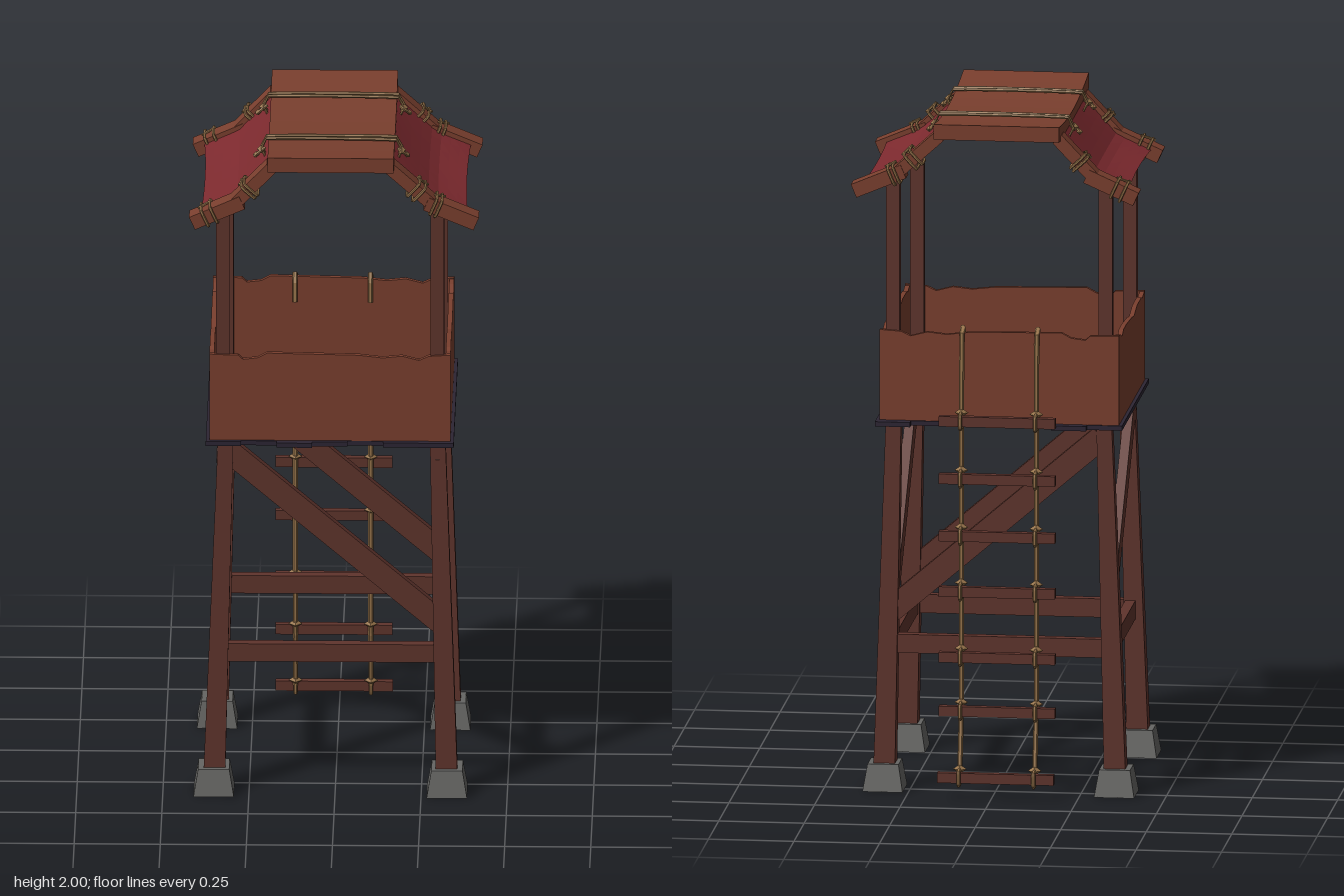
import * as THREE from 'three';

const mat = (name, color) => {
  const m = new THREE.MeshStandardMaterial({ color, side: THREE.DoubleSide, flatShading: true });
  m.name = name;
  return m;
};
const V = (x, y, z) => new THREE.Vector3(x, y, z);
const UP = V(0, 1, 0);

export function createModel() {
  const root = new THREE.Group();
  root.name = 'watchtower';
  const plank = mat('plank wood', 0x7a3f2e);
  const timber = mat('dark timber', 0x5f342c);
  const floorWood = mat('floor wood', 0x2c2533);
  const cloth = mat('red cloth', 0x7e2a2f);
  const ropeMat = mat('rope', 0x96734a);
  const stone = mat('stone', 0x666664);

  const add = (name, geo, material, parent = root) => {
    const m = new THREE.Mesh(geo, material);
    m.name = name;
    parent.add(m);
    return m;
  };
  // Square or rectangular bar between two points; taper scales the far end
  const bar = (name, a, b, w, d, material, taper = 1) => {
    const dir = b.clone().sub(a);
    const geo = new THREE.CylinderGeometry(Math.SQRT1_2 * taper, Math.SQRT1_2, dir.length(), 4);
    geo.rotateY(Math.PI / 4).scale(w, 1, d);
    const m = add(name, geo, material);
    m.quaternion.setFromUnitVectors(UP, dir.normalize());
    m.position.copy(a).add(b).multiplyScalar(0.5);
    return m;
  };
  const rope = (name, pts, r, closed = false, parent = root) => {
    const curve = new THREE.CatmullRomCurve3(pts, closed, 'catmullrom', 0.15);
    return add(name, new THREE.TubeGeometry(curve, pts.length * 6, r, 6, closed), ropeMat, parent);
  };
  const knot = (x, y, z, r = 0.016) => {
    const m = add('ropeKnot', new THREE.OctahedronGeometry(r), ropeMat);
    m.position.set(x, y, z);
    return m;
  };

  // Legs, stone feet and upper posts
  const legs = [];
  for (const [xb, xt, xp] of [[-0.352, -0.318, -0.325], [0.325, 0.298, 0.297]]) {
    for (const [zb, zt, zp] of [[0.307, 0.307, 0.325], [-0.243, -0.24, -0.266]]) {
      legs.push({ xb, xt, zb, zt });
      bar('leg', V(xb, 0.012, zb), V(xt, 1.095, zt), 0.064, 0.057, timber, 0.7);
      const foot = new THREE.CylinderGeometry(0.064, 0.083, 0.08, 4, 1, true).rotateY(Math.PI / 4);
      add('stoneFoot', foot, stone).position.set(xb, 0.04, zb);
      // Cap and bottom rim of the hollow foot
      const cap = new THREE.PlaneGeometry(0.09, 0.09).rotateX(-Math.PI / 2);
      add('footCap', cap, stone).position.set(xb, 0.0795, zb);
      const rim = new THREE.RingGeometry(0.052, 0.083, 4, 1, Math.PI / 4).rotateX(Math.PI / 2);
      add('footRim', rim, stone).position.set(xb, 0.001, zb);
      bar('roofPost', V(xp, 1.1, zp), V(xp, 1.83, zp), 0.04, 0.03, timber);
    }
  }

  // Horizontal and diagonal braces on all four sides
  const zFront = 0.307, zBack = -0.242;
  for (const z of [zFront, zBack]) {
    bar('crossBeam', V(-0.33, 0.433, z), V(0.31, 0.433, z), 0.055, 0.03, timber);
    bar('diagonalBrace', V(-0.31, 1.06, z), V(0.305, 0.53, z), 0.07, 0.028, timber);
  }
  for (const x of [-0.33, 0.306]) {
    bar('crossBeam', V(x, 0.433, zFront), V(x, 0.433, zBack), 0.03, 0.055, timber);
    bar('diagonalBrace', V(x, 1.06, zFront), V(x, 0.525, zBack), 0.028, 0.06, timber);
  }

  // Floor boards with uneven ends
  const backEnds = [0.295, 0.315, 0.3, 0.29, 0.3, 0.295, 0.32];
  const frontEnds = [0.36, 0.352, 0.37, 0.358, 0.35, 0.362, 0.365];
  backEnds.forEach((back, i) => {
    const w = 0.72 / 7, front = frontEnds[i];
    add('floorBoard', new THREE.BoxGeometry(w, 0.014, back + front), floorWood)
      .position.set(-0.375 + w * (i + 0.5), 1.097, (front - back) / 2);
  });

  // Parapet walls with worn top edges
  const wall = (name, from, to, tops, thick) => {
    const s = new THREE.Shape();
    s.moveTo(from, 1.1);
    s.lineTo(to, 1.1);
    for (const [u, y] of [...tops].reverse()) s.lineTo(from + (to - from) * u, y);
    s.closePath();
    return add(name, new THREE.ExtrudeGeometry(s, { depth: thick, bevelEnabled: false }), plank);
  };
  const edgeA = [[0, 1.37], [0.12, 1.368], [0.14, 1.355], [0.2, 1.36], [0.24, 1.375], [0.62, 1.37],
    [0.72, 1.362], [0.8, 1.368], [0.87, 1.355], [0.91, 1.368], [1, 1.372]];
  const edgeB = [[0, 1.37], [0.1, 1.36], [0.13, 1.366], [0.3, 1.366], [0.42, 1.35], [0.5, 1.357],
    [0.72, 1.366], [0.82, 1.365], [0.88, 1.352], [0.93, 1.365], [1, 1.37]];
  wall('frontWall', -0.365, 0.335, edgeA, 0.014).position.z = 0.333;
  wall('backWall', -0.365, 0.335, edgeA, 0.014).position.z = -0.29;
  for (const x of [-0.365, 0.321]) {
    const w = wall('sideWall', -0.346, 0.288, edgeB, 0.014);
    w.rotation.y = Math.PI / 2;
    w.position.x = x;
  }

  // Saddle-shaped ridge board
  const ridge = new THREE.BoxGeometry(0.366, 0.045, 0.73, 1, 1, 8);
  const rp = ridge.attributes.position;
  for (let i = 0; i < rp.count; i++) {
    const t = rp.getZ(i) / 0.365;
    rp.setY(i, rp.getY(i) + 1.951 + 0.024 * t * t + 0.003 * t);
  }
  ridge.computeVertexNormals();
  add('ridgeBoard', ridge, plank).position.set(-0.012, 0, 0.03);

  // Bent rafters, their lashings and the cloth panels
  const sides = [
    { path: [[-0.185, 1.95], [-0.29, 1.835], [-0.415, 1.778]], ties: [[-0.365, 0.014], [-0.248, 0.006]] },
    { path: [[0.16, 1.95], [0.285, 1.835], [0.41, 1.782]], ties: [[0.236, 0.011], [0.293, 0.008]] },
  ];
  for (const { path, ties } of sides) {
    const [a, b, c] = path;
    const heightAt = (x) => {
      const [p, q] = Math.abs(x) < Math.abs(b[0]) ? [a, b] : [b, c];
      const k = (q[1] - p[1]) / (q[0] - p[0]);
      return [p[1] + k * (x - p[0]), Math.atan(k)];
    };
    const sgn = Math.sign(c[0]);
    for (const z of [0.322, -0.266]) {
      bar('rafterUpper', V(...a, z), V(b[0] + sgn * 0.015, b[1] - 0.012, z), 0.036, 0.052, plank);
      bar('rafterLower', V(b[0] - sgn * 0.02, b[1] + 0.008, z), V(...c, z), 0.042, 0.058, plank);
      for (const [x, gap] of ties) {
        const [y, ang] = heightAt(x);
        const g = new THREE.Group();
        g.name = 'rafterLashing';
        g.position.set(x, y, z);
        g.rotation.z = ang;
        root.add(g);
        for (const s of [-gap, gap]) {
          rope('lashingLoop', [V(s, 0.026, 0.034), V(s, 0.026, -0.034), V(s, -0.026, -0.034), V(s, -0.026, 0.034)],
            0.0045, true, g);
        }
        rope('lashingTie', [V(-gap - 0.008, 0.03, 0.01), V(gap + 0.008, 0.03, -0.01)], 0.004, false, g);
      }
    }
    // Cloth follows the rafters and is drawn in slightly at the middle
    const sheet = new THREE.PlaneGeometry(1, 1, 8, 8);
    const p = sheet.attributes.position;
    for (let i = 0; i < p.count; i++) {
      const u = p.getX(i) + 0.5, v = p.getY(i) * 2;
      const x = a[0] + (c[0] - sgn * (0.025 + 0.007 * (1 - v * v)) - a[0]) * u;
      const sag = 0.008 * (1 - v * v) * Math.sin(Math.PI * u);
      p.setXYZ(i, x, heightAt(x)[0] + 0.008 - sag, 0.028 + v * 0.285);
    }
    sheet.computeVertexNormals();
    add('clothPanel', sheet, cloth);
  }

  // Double ropes tied round the ridge board
  for (const z of [-0.148, 0.193]) {
    for (const [dz, skew] of [[-0.012, 0], [0.008, 0.006]]) {
      const q = z + dz;
      rope('ridgeRope', [V(-0.202, 1.987, q), V(0.178, 1.987, q + skew), V(0.178, 1.924, q + skew), V(-0.202, 1.924, q)],
        0.005, true);
    }
    for (const s of [-1, 1]) {
      const x = s < 0 ? -0.205 : 0.18, e = z + 0.012;
      rope('ropeTail', [V(x, 1.96, e), V(x + s * 0.014, 1.952, e + 0.008), V(x + s * 0.032, 1.935, e - s * 0.006)], 0.005);
      knot(x + s * 0.012, 1.955, e, 0.013);
      knot(x + s * 0.026, 1.94, e - s * 0.004, 0.01);
    }
  }

  // Rope ladder hung over the back wall
  const rungs = [[0.065, -0.375], [0.255, -0.338], [0.415, -0.338], [0.61, -0.338], [0.775, -0.338],
    [0.945, -0.338], [1.115, -0.335]];
  for (const [y, z] of rungs) {
    add('ladderRung', new THREE.BoxGeometry(0.34, 0.03, 0.022), timber).position.set(-0.015, y, z);
  }
  for (const x of [-0.127, 0.092]) {
    rope('ladderRope', [V(x, 1.3, -0.262), V(x, 1.365, -0.268), V(x, 1.386, -0.285), V(x, 1.365, -0.305),
      V(x, 1.12, -0.316), V(x, 0.7, -0.315), V(x, 0.27, -0.318), V(x, 0.07, -0.36)], 0.0075);
    for (const [y, z] of rungs) {
      rope('rungLoop', [V(x, y + 0.02, z - 0.017), V(x, y + 0.02, z + 0.017), V(x, y - 0.02, z + 0.017), V(x, y - 0.02, z - 0.017)],
        0.006, true);
      knot(x, y + 0.022, z + 0.018, 0.02).scale.y = 0.7;
    }
  }
  return root;
}
